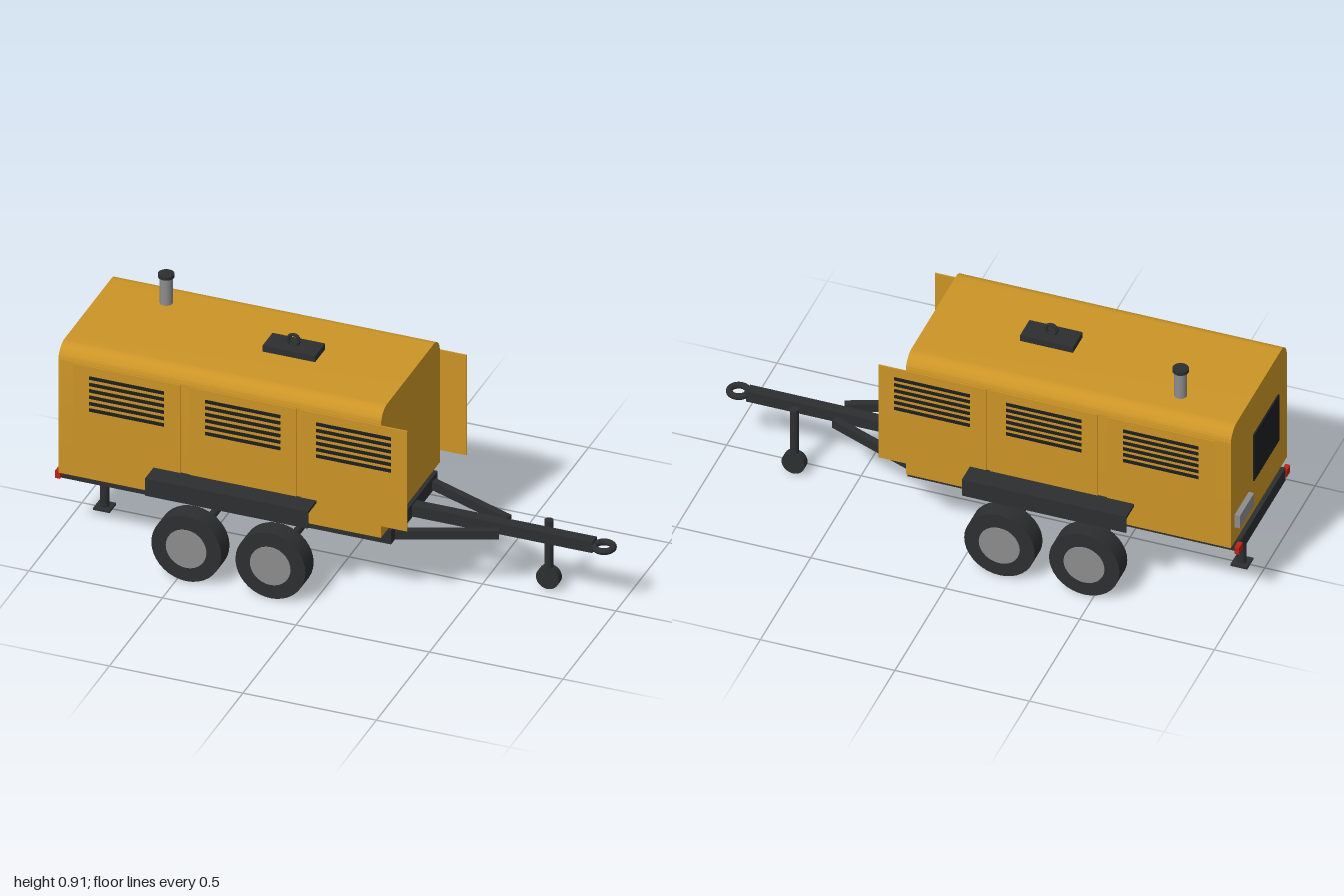
import * as THREE from 'three';
import { toCreasedNormals } from 'three/addons/utils/BufferGeometryUtils.js';

const mat = (name, color) => new THREE.MeshStandardMaterial({ name, color });

export function createModel() {
  const model = new THREE.Group();
  model.name = 'towableGenerator';
  const yellow = mat('yellowPaint', 0xcb9426);
  const dark = mat('darkSteel', 0x2c2e30);
  const black = mat('blackGrille', 0x1d1e20);
  const grey = mat('greyMetal', 0x8c8c8c);
  const red = mat('redLens', 0xb82414);

  const add = (name, geometry, material, x = 0, y = 0, z = 0) => {
    const mesh = new THREE.Mesh(geometry, material);
    mesh.name = name;
    mesh.position.set(x, y, z);
    model.add(mesh);
    return mesh;
  };
  // Box given by its limits on each axis
  const box = (name, m, x0, x1, y0, y1, z0, z1) =>
    add(name, new THREE.BoxGeometry(x1 - x0, y1 - y0, z1 - z0), m,
      (x0 + x1) / 2, (y0 + y1) / 2, (z0 + z1) / 2);
  // Upright cylinder between two heights
  const post = (name, m, r, x, z, y0, y1) =>
    add(name, new THREE.CylinderGeometry(r, r, y1 - y0, 24), m, x, (y0 + y1) / 2, z);
  // Cylinder lying along z
  const disc = (name, m, r, width, x, y, z, sides = 36) =>
    add(name, new THREE.CylinderGeometry(r, r, width, sides).rotateX(Math.PI / 2), m, x, y, z);

  // Housing with rounded top edges, extruded along x
  const W = 0.278, R = 0.058, Y0 = 0.28, Y1 = 0.79;
  const profile = new THREE.Shape();
  profile.moveTo(-W, Y0);
  profile.lineTo(W, Y0);
  profile.lineTo(W, Y1 - R);
  profile.absarc(W - R, Y1 - R, R, 0, Math.PI / 2, false);
  profile.lineTo(-W + R, Y1);
  profile.absarc(-W + R, Y1 - R, R, Math.PI / 2, Math.PI, false);
  profile.closePath();
  const shell = new THREE.ExtrudeGeometry(profile, { depth: 1.208, bevelEnabled: false, curveSegments: 10 });
  shell.rotateY(Math.PI / 2);
  add('housing', toCreasedNormals(shell, 0.6), yellow, -0.978);

  // Chassis and rear fittings
  box('chassis', dark, -0.995, 0.245, 0.225, 0.28, -0.22, 0.22);
  box('rearGrille', black, -0.984, -0.977, 0.42, 0.62, -0.06, 0.19);
  box('controlBox', grey, -0.998, -0.977, 0.345, 0.4, -0.24, -0.1);

  for (const s of [1, -1]) {
    const side = (name, m, x0, x1, y0, y1, z0, z1) =>
      box(name, m, x0, x1, y0, y1, Math.min(s * z0, s * z1), Math.max(s * z0, s * z1));

    // Side doors with louvres
    for (const x of [-0.72, -0.285, 0.13]) {
      side('door', yellow, x - 0.2, x + 0.2, 0.33, 0.735, 0.277, 0.282);
      for (let i = 0; i < 6; i++) {
        const y = 0.563 + i * 0.0258;
        side('louvre', black, x - 0.14, x + 0.14, y - 0.006, y + 0.006, 0.28, 0.286);
      }
    }

    // Fender with a turned-down lip
    side('fenderTop', dark, -0.62, -0.01, 0.37, 0.381, 0.276, 0.363);
    side('fenderLip', dark, -0.62, -0.01, 0.312, 0.381, 0.356, 0.363);

    side('tailLight', red, -1, -0.982, 0.24, 0.27, 0.218, 0.253);

    for (const x of [-0.465, -0.15]) {
      disc('tyre', dark, 0.131, 0.078, x, 0.131, s * 0.324);
      disc('hub', grey, 0.076, 0.08, x, 0.131, s * 0.326, 28);
    }

    // Diagonal drawbar brace
    const a = new THREE.Vector2(0.245, s * 0.182), b = new THREE.Vector2(0.58, s * 0.048);
    const brace = add('drawbarBrace', new THREE.BoxGeometry(a.distanceTo(b), 0.034, 0.026), dark,
      (a.x + b.x) / 2, 0.248, (a.y + b.y) / 2);
    brace.rotation.y = -Math.atan2(b.y - a.y, b.x - a.x);
  }

  for (const x of [-0.465, -0.15]) disc('axle', dark, 0.015, 0.58, x, 0.131, 0, 16);

  // Drawbar and towing eye
  box('drawbar', dark, 0.24, 0.92, 0.228, 0.272, -0.021, 0.021);
  add('towingEye', new THREE.TorusGeometry(0.033, 0.012, 12, 32).rotateX(Math.PI / 2), dark, 0.955, 0.25, 0);

  // Jockey wheel
  post('jockeyPost', dark, 0.016, 0.725, -0.06, 0.05, 0.276);
  disc('jockeyWheel', dark, 0.043, 0.03, 0.725, 0.047, -0.06, 28);

  // Rear support stand
  post('standPost', dark, 0.017, -0.915, 0, 0, 0.23);
  box('standFoot', dark, -0.946, -0.884, 0, 0.008, -0.031, 0.031);

  // Exhaust
  post('exhaustPipe', grey, 0.023, -0.74, -0.14, 0.78, 0.897);
  post('exhaustCap', dark, 0.029, -0.74, -0.14, 0.895, 0.908);

  // Lifting eye on its plate
  box('liftingPlate', dark, -0.305, -0.108, 0.785, 0.814, -0.047, 0.047);
  add('liftingEye', new THREE.TorusGeometry(0.02, 0.006, 10, 28), dark, -0.207, 0.834, 0);

  return model;
}
